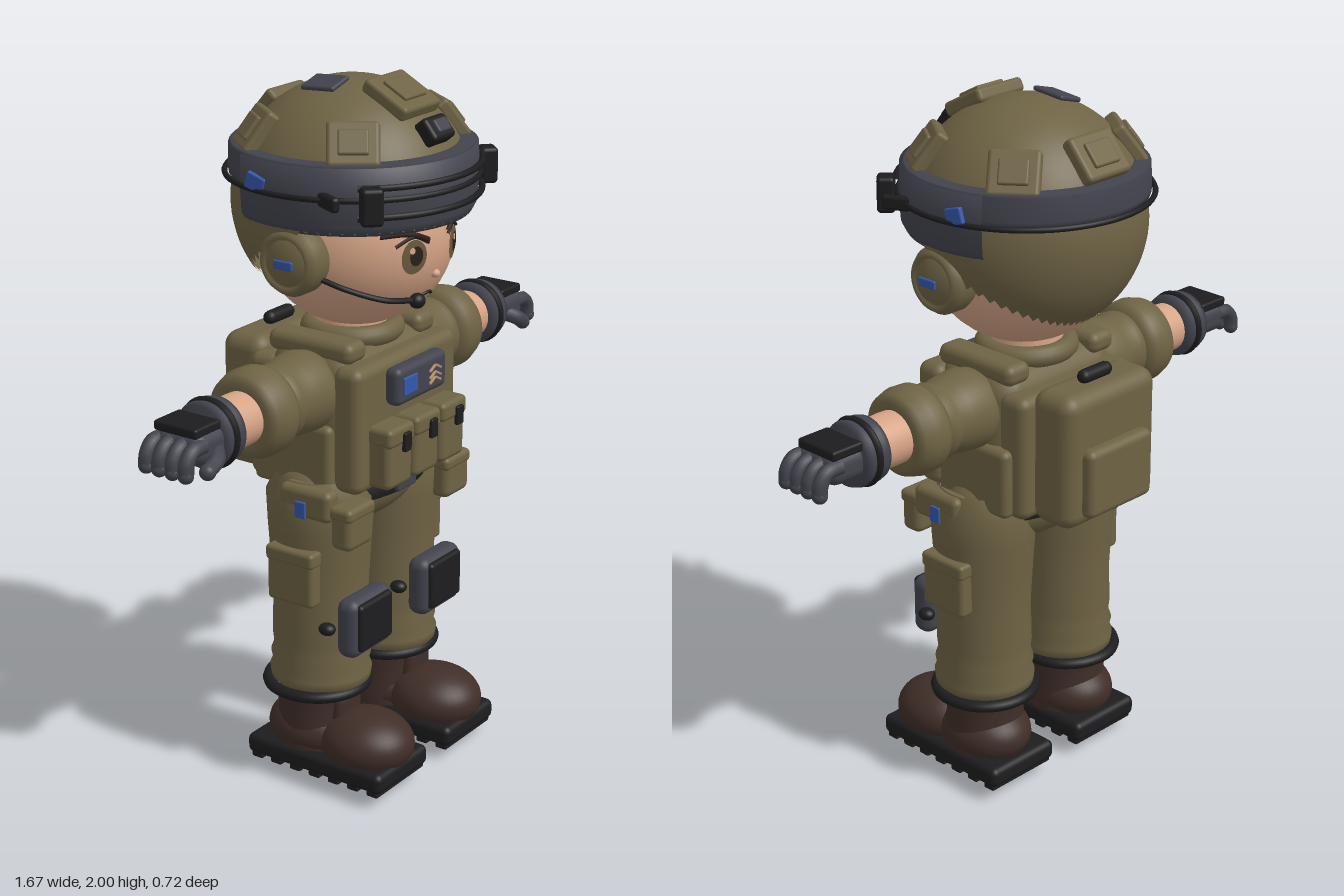
import * as THREE from 'three';
import { RoundedBoxGeometry } from 'three/addons/geometries/RoundedBoxGeometry.js';

const colour = (name, hex, double) => {
  const m = new THREE.MeshStandardMaterial({ color: hex });
  m.name = name;
  if (double) m.side = THREE.DoubleSide;
  return m;
};

export function createModel() {
  const olive = colour('olive cloth', 0x6e6344, true);
  const slate = colour('slate rubber', 0x43434e);
  const black = colour('black plastic', 0x1d1d1f);
  const skin = colour('skin', 0xd6a486);
  const brown = colour('brown leather', 0x402e28);
  const blue = colour('blue tag', 0x3558ac);
  const tan = colour('tan thread', 0xb08f6c);
  const iris = colour('iris', 0x6a5a3c);
  const hair = colour('brow and pupil', 0x2a201c);

  const model = new THREE.Group();
  model.name = 'soldier';

  // Helpers
  const add = (name, geo, mat, x = 0, y = 0, z = 0, parent = model) => {
    const m = new THREE.Mesh(geo, mat);
    m.name = name;
    m.position.set(x, y, z);
    parent.add(m);
    return m;
  };
  const box = (name, mat, w, h, d, x, y, z, r = 0.02, parent = model) =>
    add(name, new RoundedBoxGeometry(w, h, d, 3, Math.min(r, w / 2.01, h / 2.01, d / 2.01)), mat, x, y, z, parent);
  const ball = (name, mat, rx, ry, rz, x, y, z) =>
    add(name, new THREE.SphereGeometry(1, 36, 24).scale(rx, ry, rz), mat, x, y, z);
  const lathe = (pts, start = 0, len = Math.PI * 2) =>
    new THREE.LatheGeometry(pts.map(p => new THREE.Vector2(...p)), 48, start, len);
  const tube = (name, mat, pts, r, parent = model) =>
    add(name, new THREE.TubeGeometry(new THREE.CatmullRomCurve3(pts.map(p => new THREE.Vector3(...p))), 16, r, 8), mat, 0, 0, 0, parent);

  // Head and face: flat details are laid onto the head ellipsoid
  const HY = 1.56, HZ = 0.012, RX = 0.268, RY = 0.25, RZ = 0.27;
  ball('head', skin, RX, RY, RZ, 0, HY, HZ);
  const faceZ = (x, y) => HZ + RZ * Math.sqrt(1 - (x / RX) ** 2 - ((y - HY) / RY) ** 2);
  const decal = (name, mat, rx, ry, x, y, lift) => {
    const g = new THREE.CircleGeometry(1, 28).scale(rx, ry, 1).translate(x, y, 0);
    const p = g.attributes.position;
    for (let i = 0; i < p.count; i++) p.setZ(i, faceZ(p.getX(i), p.getY(i)) + lift);
    g.computeVertexNormals();
    return add(name, g, mat);
  };
  const stroke = (name, pts, r) =>
    tube(name, hair, pts.map(([x, y]) => [x, y, faceZ(x, y) + 0.002]), r);
  for (const s of [-1, 1]) {
    decal('iris', iris, 0.038, 0.047, s * 0.092, 1.552, 0.003);
    decal('pupil', hair, 0.02, 0.027, s * 0.09, 1.555, 0.006);
    decal('eyeGlint', skin, 0.008, 0.009, s * 0.092 - 0.013, 1.572, 0.009);
    stroke('upperLash', [[s * 0.045, 1.585], [s * 0.09, 1.606], [s * 0.145, 1.585]], 0.005);
    stroke('eyebrow', [[s * 0.045, 1.592], [s * 0.1, 1.615], [s * 0.175, 1.617]], 0.008);
  }
  ball('nose', skin, 0.014, 0.012, 0.014, 0, 1.487, faceZ(0, 1.487));
  stroke('mouth', [[-0.03, 1.422], [0, 1.43], [0.03, 1.422]], 0.005);
  add('neck', new THREE.CylinderGeometry(0.1, 0.11, 0.14, 32), skin, 0, 1.29, 0);

  // Helmet shell: a sphere whose lower edge drops toward the nape
  const CY = 1.66, R = 0.33;
  const shell = new THREE.SphereGeometry(R, 64, 32);
  const sp = shell.attributes.position, uv = shell.attributes.uv;
  for (let i = 0; i < sp.count; i++) {
    const a = uv.getX(i) * Math.PI * 2, c = Math.cos(a);
    const edge = 1.64 - 0.235 * Math.max(0, (0.25 - c) / 1.25);
    const t = (1 - uv.getY(i)) * Math.acos((edge - CY) / R);
    sp.setXYZ(i, -R * Math.sin(t) * Math.sin(a), R * Math.cos(t), R * Math.sin(t) * c);
  }
  // keep the winding outward after sweeping the angle the other way round
  if (shell.index) {
    const ix = shell.index.array;
    const p = k => new THREE.Vector3().fromBufferAttribute(sp, ix[k]);
    const k = Math.floor(ix.length / 6) * 3;
    const n = p(k + 1).sub(p(k)).cross(p(k + 2).sub(p(k)));
    if (n.dot(p(k)) < 0) for (let j = 0; j < ix.length; j += 3) [ix[j], ix[j + 1]] = [ix[j + 1], ix[j]];
  }
  shell.computeVertexNormals();
  add('helmetShell', shell, olive, 0, CY, 0);

  // Helmet pads and mount, each facing out from the helmet centre
  const pad = (name, mat, x, y, z, w, h, d, inset) => {
    const g = new THREE.Group();
    g.name = name;
    const dir = new THREE.Vector3(x, y, z).normalize();
    g.lookAt(dir);
    g.position.copy(dir).multiplyScalar(R + 0.004).setY(dir.y * (R + 0.004) + CY);
    model.add(g);
    box(name + 'Base', mat, w, h, d, 0, 0, 0, 0.012, g);
    if (inset) box(name + 'Inset', inset, w * 0.58, h * 0.55, 0.02, 0, 0, d / 2, 0.006, g);
    return g;
  };
  pad('frontPad', olive, 0, 0.29, 0.155, 0.17, 0.15, 0.04, olive);
  pad('rearPad', olive, 0, 0.215, -0.25, 0.16, 0.13, 0.04, olive);
  for (const s of [-1, 1]) for (const z of [-0.165, 0.155])
    pad('sidePad', olive, s * 0.215, 0.2, z, 0.14, 0.13, 0.04, olive);
  pad('lampMount', black, 0, 0.22, 0.27, 0.1, 0.07, 0.06, slate);
  pad('topPatch', slate, -0.09, 0.32, -0.025, 0.11, 0.08, 0.014).rotateZ(0.25);

  // Goggles pushed up on the helmet: band, lens, frame, strap and clips
  add('goggleBand', lathe([[0.315, 1.735], [0.334, 1.735], [0.336, 1.75], [0.333, 1.815], [0.326, 1.822], [0.28, 1.822]]), slate);
  add('goggleLens', lathe([[0.3, 1.635], [0.325, 1.635], [0.338, 1.66], [0.342, 1.73], [0.339, 1.815], [0.28, 1.823]], -2, 4), slate);
  add('goggleStrap', new THREE.TorusGeometry(0.345, 0.008, 8, 64).rotateX(Math.PI / 2), black, 0, 1.735, 0);
  for (const y of [1.69, 1.768]) {
    const arc = [];
    for (let i = -4; i <= 4; i++) arc.push([Math.sin(i * 0.23) * 0.35, y, Math.cos(i * 0.23) * 0.35]);
    tube('goggleFrame', black, arc, 0.009);
  }
  for (const s of [-1, 1]) {
    box('goggleHinge', black, 0.06, 0.1, 0.05, s * 0.275, 1.728, 0.255, 0.012).rotation.y = s * 0.8;
    box('goggleArm', black, 0.025, 0.04, 0.1, s * 0.322, 1.735, 0.15, 0.01).rotation.y = s * 0.45;
    box('strapClip', blue, 0.015, 0.045, 0.06, s * 0.337, 1.755, -0.07, 0.005).rotation.x = 0.3;
    // Ear cups
    const cup = add('earCup', lathe([[0.085, 0.25], [0.093, 0.27], [0.093, 0.315], [0.08, 0.335], [0.066, 0.335], [0.062, 0.325], [0.05, 0.345], [0, 0.347]]), olive, 0, 1.55, 0.02);
    cup.rotation.z = -s * Math.PI / 2;
    box('earTag', blue, 0.009, 0.025, 0.062, s * 0.348, 1.55, 0.025, 0.004);
  }
  tube('microphoneBoom', black, [[-0.28, 1.51, 0.09], [-0.255, 1.485, 0.16], [-0.18, 1.45, 0.235], [-0.08, 1.432, 0.268]], 0.008);
  ball('microphone', black, 0.024, 0.021, 0.021, -0.08, 1.43, 0.268);

  // Torso and vest
  box('torso', olive, 0.46, 0.41, 0.295, 0, 1.08, 0.005, 0.08);
  box('vestFront', olive, 0.485, 0.36, 0.09, 0, 1.075, 0.145, 0.03);
  box('vestBack', olive, 0.44, 0.36, 0.1, 0, 1.055, -0.15, 0.03);
  add('collar', new THREE.TorusGeometry(0.115, 0.03, 14, 40).rotateX(Math.PI / 2), olive, 0, 1.292, 0);
  for (const s of [-1, 1]) {
    box('shoulderStrap', olive, 0.09, 0.06, 0.28, s * 0.165, 1.28, 0, 0.025);
    box('sidePanel', olive, 0.06, 0.2, 0.26, s * 0.22, 0.98, -0.03, 0.02);
  }
  for (const i of [-1, 0, 1]) {
    box('magazinePouch', olive, 0.118, 0.17, 0.085, i * 0.129, 0.995, 0.212, 0.02);
    box('pouchFlap', olive, 0.122, 0.055, 0.09, i * 0.129, 1.06, 0.215, 0.015);
    box('pouchBuckle', black, 0.032, 0.055, 0.014, i * 0.129 + 0.015, 1.04, 0.262, 0.005);
  }
  box('chestPanel', slate, 0.24, 0.108, 0.05, 0, 1.183, 0.212, 0.02);
  box('chestTag', blue, 0.065, 0.05, 0.009, -0.067, 1.185, 0.239, 0.003);
  for (const s of [-1, 1]) for (const y of [1.165, 1.18, 1.2])
    box('chestStripe', tan, 0.03, 0.007, 0.008, 0.055 + s * 0.014, y, 0.239, 0.002).rotation.z = -s * 0.5;

  // Backpack
  box('backpack', olive, 0.36, 0.39, 0.15, 0, 1.065, -0.255, 0.045);
  box('backpackPocket', olive, 0.25, 0.2, 0.06, 0, 1.005, -0.333, 0.022);
  add('backpackHandle', new THREE.CapsuleGeometry(0.02, 0.08, 6, 14).rotateZ(Math.PI / 2), black, 0, 1.275, -0.255);

  // Hips and belt
  ball('hips', olive, 0.28, 0.14, 0.165, 0, 0.87, -0.005);
  add('belt', lathe([[0.9, -0.035], [1, -0.025], [1, 0.025], [0.9, 0.035]]).scale(0.265, 1, 0.178), black, 0, 0.872, 0);
  box('beltBuckle', slate, 0.09, 0.035, 0.02, 0, 0.868, 0.18, 0.008);

  for (const s of [-1, 1]) {
    // Sleeves and forearms, turned so the profile runs outward along x
    const arm = new THREE.Group();
    arm.name = s > 0 ? 'leftArm' : 'rightArm';
    arm.position.y = 1.168;
    arm.rotation.z = -s * Math.PI / 2;
    model.add(arm);
    const turned = (name, mat, pts) => add(name, lathe(pts), mat, 0, 0, 0, arm);
    turned('sleeve', olive, [[0, 0.14], [0.1, 0.18], [0.115, 0.24], [0.108, 0.31], [0.098, 0.34], [0.107, 0.36], [0.104, 0.385], [0.085, 0.4]]);
    turned('sleeveCuff', olive, [[0.08, 0.385], [0.11, 0.392], [0.123, 0.415], [0.125, 0.455], [0.115, 0.49], [0.095, 0.505], [0.07, 0.5]]);
    turned('forearm', skin, [[0.072, 0.46], [0.074, 0.53], [0.07, 0.62]]);
    turned('gloveCuff', slate, [[0.065, 0.59], [0.088, 0.592], [0.093, 0.61], [0.085, 0.63], [0.092, 0.655], [0.085, 0.675], [0, 0.68]]);
    add('gloveStrap', new THREE.TorusGeometry(0.087, 0.011, 8, 36).rotateX(Math.PI / 2), black, 0, 0.632, 0, arm);

    // Gloved hand with drooping fingers
    box('palm', slate, 0.13, 0.09, 0.155, s * 0.715, 1.17, 0.005, 0.035);
    box('knucklePlate', black, 0.105, 0.028, 0.14, s * 0.722, 1.217, 0, 0.008);
    for (let i = 0; i < 4; i++) {
      const z = -0.06 + i * 0.043;
      tube('finger', slate, [[s * 0.745, 1.182, z], [s * 0.79, 1.178, z], [s * 0.812, 1.152, z], [s * 0.816, 1.122, z]], 0.021);
      ball('fingertip', slate, 0.021, 0.021, 0.021, s * 0.816, 1.122, z);
    }
    tube('thumb', slate, [[s * 0.685, 1.16, 0.06], [s * 0.72, 1.14, 0.092], [s * 0.755, 1.118, 0.09]], 0.022);
    ball('thumbTip', slate, 0.022, 0.022, 0.022, s * 0.755, 1.118, 0.09);

    // Trouser leg with folds above the hem
    add('trouserLeg', lathe([[0.12, 0.28], [0.138, 0.3], [0.141, 0.325], [0.132, 0.345], [0.138, 0.37], [0.129, 0.395], [0.133, 0.43], [0.13, 0.55], [0.136, 0.66], [0.143, 0.77], [0.147, 0.86], [0.12, 0.92]]).scale(1, 1, 1.04), olive, s * 0.165, 0, 0.008);
    add('trouserHem', new THREE.TorusGeometry(0.14, 0.017, 10, 44).rotateX(Math.PI / 2), black, s * 0.17, 0.284, 0);

    // Pouches and pockets on hip and thigh
    box('beltPouch', olive, 0.12, 0.115, 0.07, s * 0.238, 0.812, 0.168, 0.022);
    box('beltPouchFlap', olive, 0.126, 0.04, 0.075, s * 0.238, 0.86, 0.168, 0.015);
    box('hipPouch', olive, 0.06, 0.09, 0.17, s * 0.28, 0.872, 0.055, 0.02);
    box('hipTag', blue, 0.009, 0.048, 0.035, s * 0.312, 0.855, 0.048, 0.003);
    box('thighPocket', olive, 0.05, 0.16, 0.155, s * 0.298, 0.648, 0.015, 0.015);
    box('thighPocketFlap', olive, 0.054, 0.045, 0.16, s * 0.3, 0.71, 0.015, 0.012);

    // Knee pad
    box('kneePad', slate, 0.195, 0.175, 0.07, s * 0.174, 0.507, 0.165, 0.03);
    box('kneePlate', black, 0.155, 0.14, 0.03, s * 0.174, 0.512, 0.195, 0.012);
    for (const k of [-1, 1]) ball('kneeStrapKnob', black, 0.022, 0.018, 0.025, s * 0.174 + k * 0.112, 0.507, 0.118);

    // Boot
    add('bootShaft', lathe([[0.118, 0.08], [0.122, 0.15], [0.11, 0.2], [0.118, 0.28]]), brown, s * 0.172, 0, 0);
    ball('bootHeel', brown, 0.122, 0.09, 0.14, s * 0.174, 0.14, -0.005);
    ball('bootToe', brown, 0.126, 0.09, 0.14, s * 0.174, 0.135, 0.175);
    box('bootTongue', brown, 0.11, 0.12, 0.06, s * 0.174, 0.215, 0.095, 0.025);
    box('bootSole', black, 0.25, 0.06, 0.465, s * 0.174, 0.075, 0.07, 0.02);
    for (let i = 0; i < 7; i++)
      box('soleTread', black, 0.235, 0.025, 0.038, s * 0.174, 0.045, -0.13 + i * 0.067, 0.006);
    ball('soleBulge', brown, 0.1, 0.06, 0.09, s * 0.172, 0.06, 0);
  }
  return model;
}
